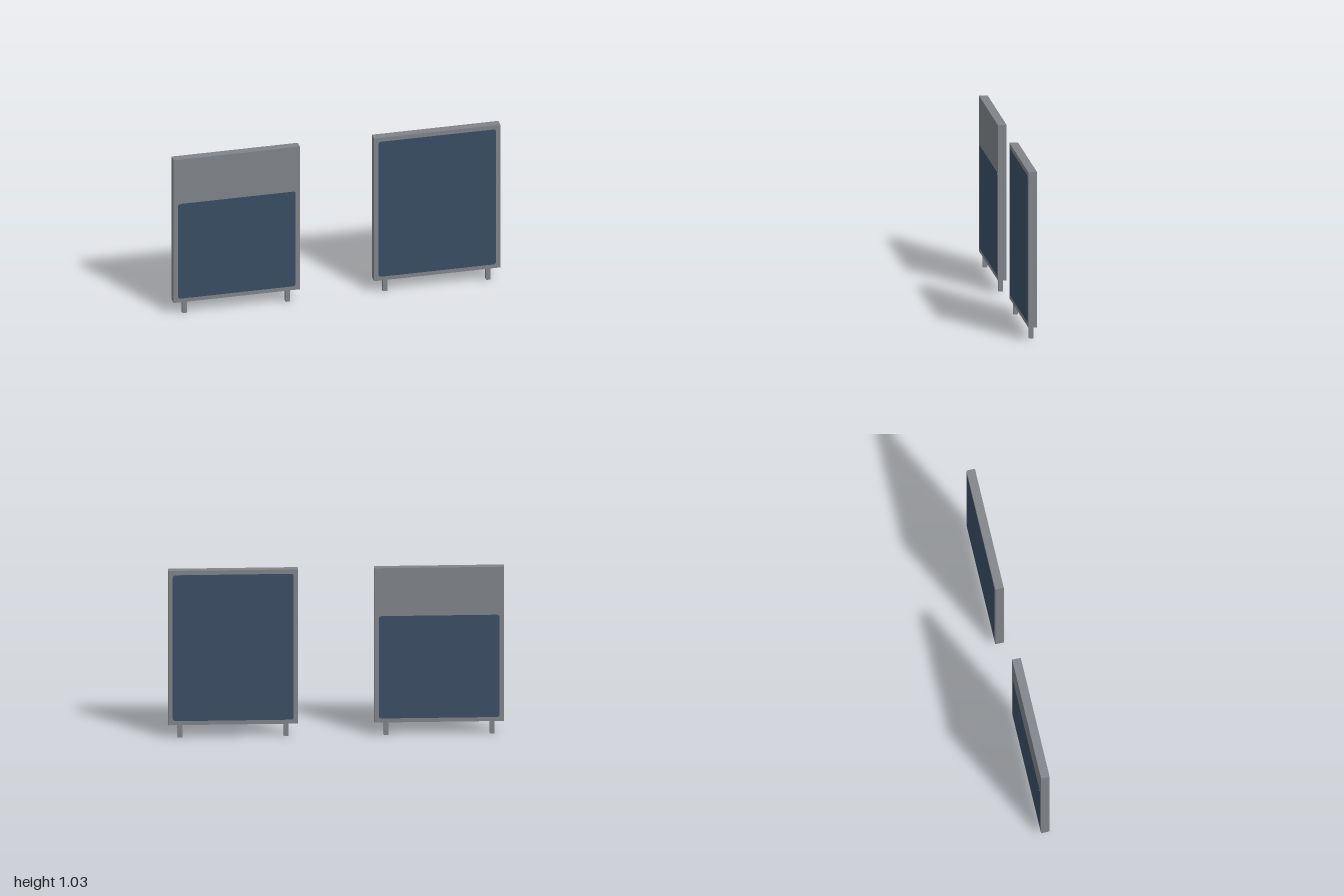
import * as THREE from 'three';

const WIDTH = 0.773, BOTTOM = 0.08, TOP = 1.03, DEPTH = 0.052;
const CENTRE = 1 - WIDTH / 2;

// Rounded rectangle plate, standing on y = 0, facing +z
function roundedPlate(w, h, r, depth) {
  const s = new THREE.Shape();
  const x = w / 2;
  s.moveTo(-x + r, 0);
  s.lineTo(x - r, 0);
  s.absarc(x - r, r, r, -Math.PI / 2, 0);
  s.lineTo(x, h - r);
  s.absarc(x - r, h - r, r, 0, Math.PI / 2);
  s.lineTo(-x + r, h);
  s.absarc(-x + r, h - r, r, Math.PI / 2, Math.PI);
  s.lineTo(-x, r);
  s.absarc(-x + r, r, r, Math.PI, Math.PI * 1.5);
  return new THREE.ExtrudeGeometry(s, { depth, bevelEnabled: false, curveSegments: 5 });
}

export function createModel() {
  const grey = new THREE.MeshStandardMaterial({ color: 0x808489 });
  grey.name = 'frame grey';
  const blue = new THREE.MeshStandardMaterial({ color: 0x3a4d64 });
  blue.name = 'panel blue';

  const add = (parent, name, geometry, material, x, y, z) => {
    const mesh = new THREE.Mesh(geometry, material);
    mesh.name = name;
    mesh.position.set(x, y, z);
    parent.add(mesh);
    return mesh;
  };

  // One standing board with a blue field on both faces
  function board(name, x, fieldTop) {
    const group = new THREE.Group();
    group.name = name;
    group.position.x = x;
    const height = TOP - BOTTOM;
    add(group, 'boardFrame', new THREE.BoxGeometry(WIDTH, height, DEPTH), grey, 0, BOTTOM + height / 2, 0);

    // Blue fields, front and back
    const field = roundedPlate(0.72, fieldTop - 0.105, 0.016, 0.003);
    const z = DEPTH / 2 - 0.002;
    add(group, 'frontField', field, blue, 0, 0.105, z);
    add(group, 'backField', field, blue, 0, 0.105, -z).rotation.y = Math.PI;

    // Short square legs
    for (const side of [-1, 1]) {
      const leg = new THREE.BoxGeometry(0.027, BOTTOM, 0.027);
      add(group, side > 0 ? 'leftLeg' : 'rightLeg', leg, grey, side * 0.316, BOTTOM / 2, 0);
    }
    return group;
  }

  const model = new THREE.Group();
  model.name = 'displayBoards';
  model.add(board('rightBoard', -CENTRE, 0.735), board('leftBoard', CENTRE, 1.003));
  return model;
}
